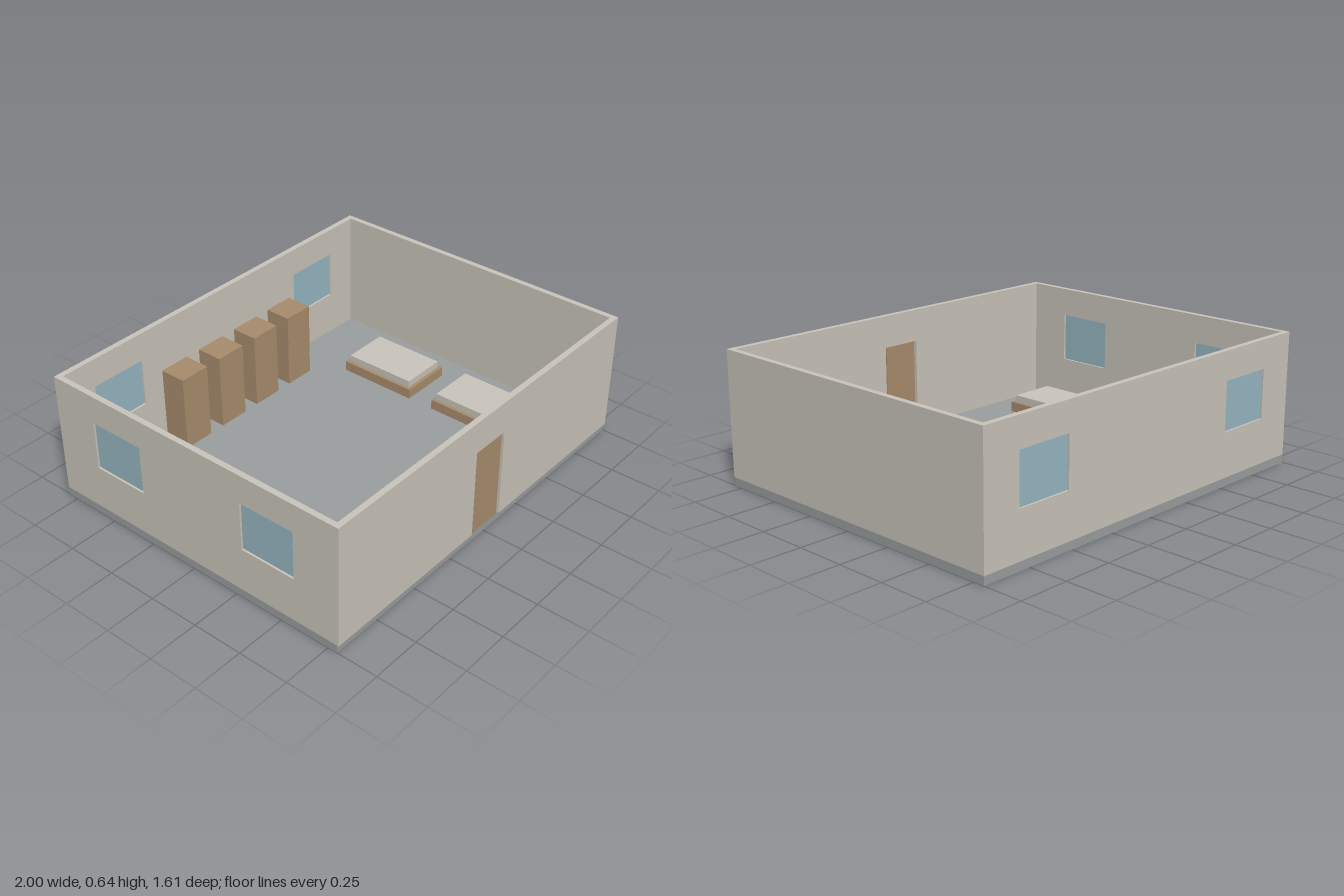
import * as THREE from 'three';

const FLOOR = 0.04, TOP = 0.64, T = 0.028, FRONT = 0.805, BACK = -0.805;

const paint = (name, color) => {
  const m = new THREE.MeshStandardMaterial({ color });
  m.name = name;
  return m;
};

export function createModel() {
  const model = new THREE.Group();
  model.name = 'dormitoryRoom';
  const plaster = paint('warm grey plaster', 0xcac6bc);
  const concrete = paint('blue grey concrete', 0x9b9fa0);
  const wood = paint('tan wood', 0xa98d6d);
  const glass = paint('pale blue glass', 0x98b8c4);

  // Box given by its min and max on each axis
  function box(name, mat, [x0, x1], [y0, y1], [z0, z1], parent = model) {
    const mesh = new THREE.Mesh(new THREE.BoxGeometry(x1 - x0, y1 - y0, z1 - z0), mat);
    mesh.position.set((x0 + x1) / 2, (y0 + y1) / 2, (z0 + z1) / 2);
    mesh.name = name;
    parent.add(mesh);
    return mesh;
  }

  // Wall panel with window holes and an optional doorway, extruded along +z
  function wall(name, half, windows, door) {
    const group = new THREE.Group();
    group.name = name;
    const s = new THREE.Shape();
    s.moveTo(-half, FLOOR);
    if (door) {
      s.lineTo(-door.half, FLOOR);
      s.lineTo(-door.half, door.top);
      s.lineTo(door.half, door.top);
      s.lineTo(door.half, FLOOR);
    }
    s.lineTo(half, FLOOR);
    s.lineTo(half, TOP);
    s.lineTo(-half, TOP);
    s.closePath();
    for (const c of windows) {
      const [x0, x1, y0, y1] = [c - 0.142, c + 0.142, 0.26, 0.5];
      const hole = new THREE.Path();
      hole.moveTo(x0, y0);
      hole.lineTo(x0, y1);
      hole.lineTo(x1, y1);
      hole.lineTo(x1, y0);
      hole.closePath();
      s.holes.push(hole);
      // Pane set in the middle of the wall
      box('windowPane', glass, [x0, x1], [y0, y1], [T / 2 - 0.004, T / 2 + 0.004], group);
    }
    const panel = new THREE.Mesh(
      new THREE.ExtrudeGeometry(s, { depth: T, bevelEnabled: false }), plaster);
    panel.name = name + 'Panel';
    group.add(panel);
    model.add(group);
    return group;
  }

  // Floor slab, just short of the front wall's face
  box('floorSlab', concrete, [-1, 1], [0, FLOOR], [BACK, FRONT - 0.01]);

  // Four walls
  wall('frontWall', 1, [], { half: 0.1, top: 0.482 }).position.z = FRONT - T;
  wall('backWall', 1, [-0.664, 0.664]).position.z = BACK;
  const sideHalf = FRONT - T;
  const rightWall = wall('rightWall', sideHalf, [-0.43, 0.43]);
  rightWall.rotation.y = Math.PI / 2;
  rightWall.position.x = -1;
  const leftWall = wall('leftWall', sideHalf, []);
  leftWall.rotation.y = Math.PI / 2;
  leftWall.position.x = 1 - T;

  // Door with a narrow gap each side
  box('door', wood, [-0.09, 0.09], [FLOOR, 0.48], [FRONT - 0.022, FRONT - 0.006]);

  // Row of cabinets along the back wall
  for (const x of [-0.36, -0.12, 0.12, 0.36])
    box('cabinet', wood, [x - 0.079, x + 0.079], [FLOOR, 0.42], [-0.737, -0.603]);

  // Two beds on each side
  for (const x of [-0.65, 0.65])
    for (const z of [-0.224, 0.317]) {
      const bed = new THREE.Group();
      bed.name = 'bed';
      bed.position.set(x, 0, z);
      box('bedFrame', wood, [-0.134, 0.134], [0.08, 0.13], [-0.203, 0.203], bed);
      box('mattress', plaster, [-0.118, 0.118], [0.13, 0.165], [-0.186, 0.186], bed);
      model.add(bed);
    }

  return model;
}
